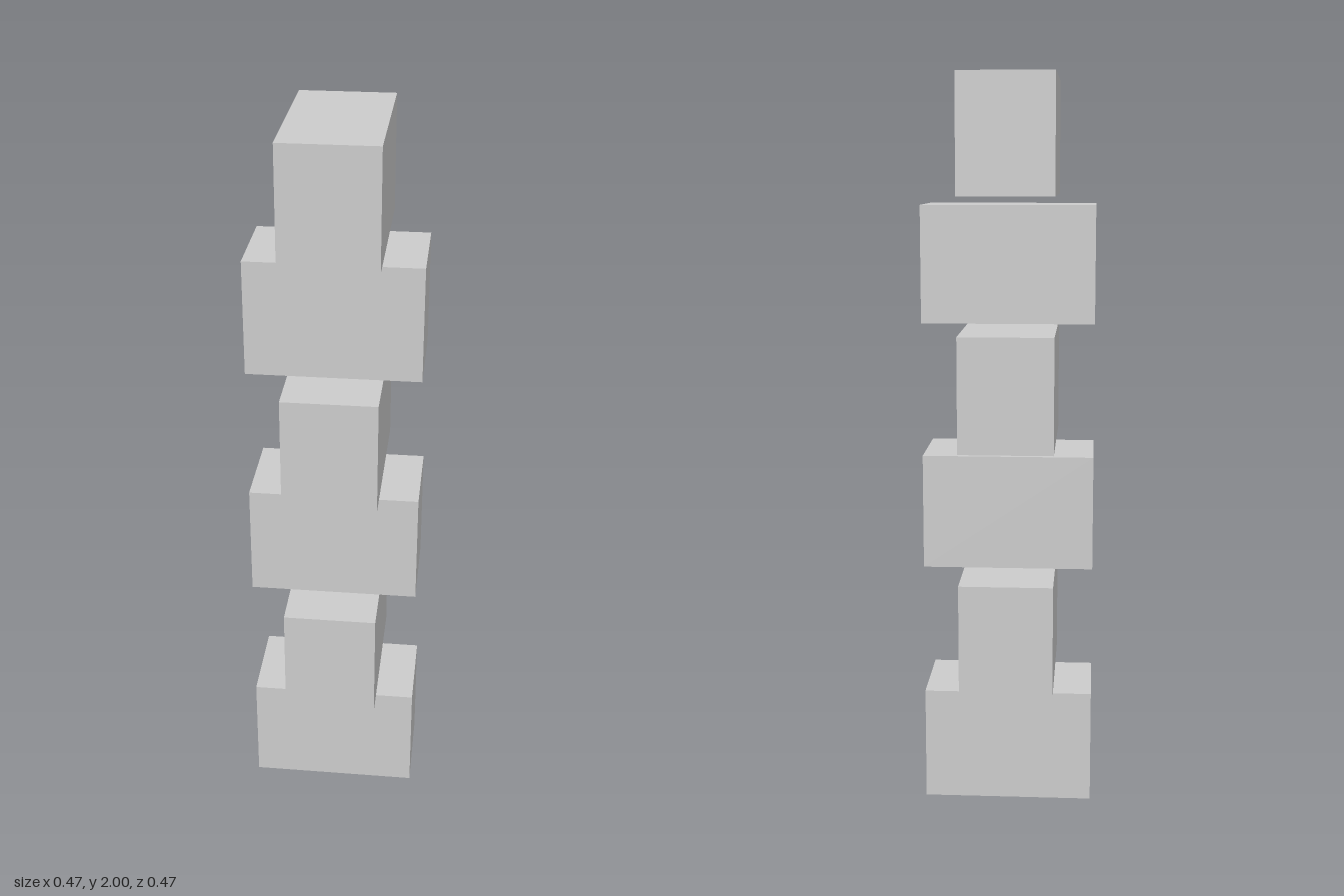
import * as THREE from 'three';

const LENGTH = 0.465, WIDTH = 0.256, HEIGHT = 0.313;
const COUNT = 6;
const PITCH = (2 - HEIGHT) / (COUNT - 1); // leaves a small gap between blocks

export function createModel() {
  const tower = new THREE.Group();
  tower.name = 'blockTower';
  const material = new THREE.MeshStandardMaterial({ color: 0xcccccc, flatShading: true });
  const geometry = new THREE.BoxGeometry(LENGTH, HEIGHT, WIDTH);

  // Stacked blocks, each turned a quarter from the one below
  for (let i = 0; i < COUNT; i++) {
    const block = new THREE.Mesh(geometry, material);
    block.name = `block${i + 1}`;
    block.position.y = HEIGHT / 2 + i * PITCH;
    block.rotation.y = (i % 2) * Math.PI / 2;
    tower.add(block);
  }
  return tower;
}
